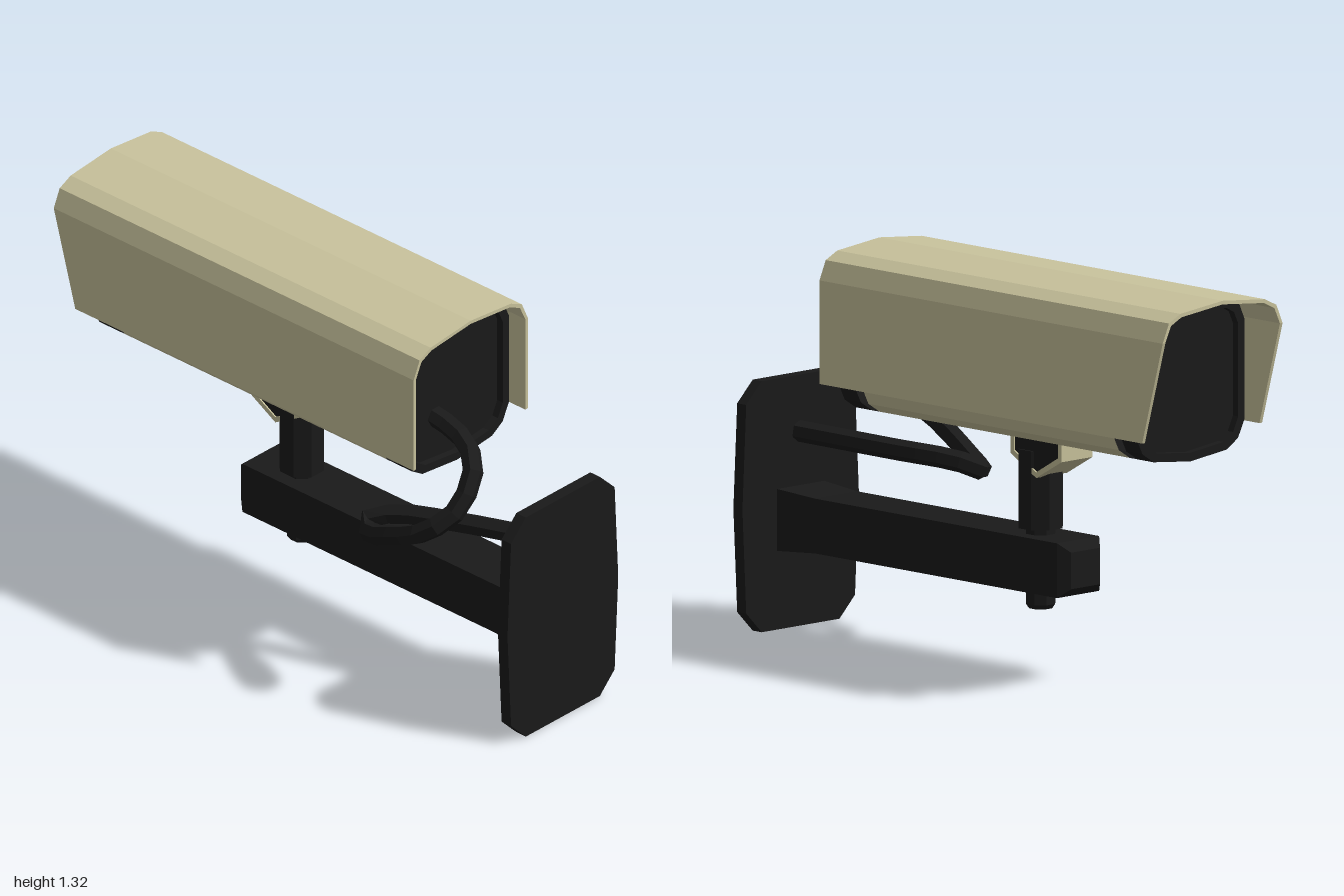
import * as THREE from 'three';

const ZC = -0.042; // depth of the camera and bracket centre line
const material = (color) => new THREE.MeshStandardMaterial({ color, flatShading: true });
const beige = material(0xc8c29c);
const black = material(0x1a1a1a);
const grey = material(0x3a3a3a);

// Mirrors a half profile [halfWidth, y] (bottom to top, +side) into a closed outline.
function mirrored(half) {
  const left = half.filter(([w]) => w > 0).map(([w, y]) => [-w, y]).reverse();
  return [...half, ...left].map(([w, y]) => new THREE.Vector2(w, y));
}

// Extrudes a symmetric depth/height outline along x from x0 to x1.
function alongX(outline, x0, x1, hole) {
  const shape = new THREE.Shape(outline);
  if (hole) shape.holes.push(new THREE.Path(hole));
  const geo = new THREE.ExtrudeGeometry(shape, { depth: x1 - x0, bevelEnabled: false });
  return geo.rotateY(Math.PI / 2).translate(x0, 0, ZC);
}

// Extrudes a front outline along z, centred on the centre line.
function alongZ(points, depth) {
  const shape = new THREE.Shape(points.map(([x, y]) => new THREE.Vector2(x, y)));
  const geo = new THREE.ExtrudeGeometry(shape, { depth, bevelEnabled: false });
  return geo.translate(0, 0, ZC - depth / 2);
}

export function createModel() {
  const model = new THREE.Group();
  const add = (name, geo, mat) => {
    const mesh = new THREE.Mesh(geo, mat);
    mesh.name = name;
    model.add(mesh);
    return mesh;
  };

  // Sun hood: thin open shell, with its front side edges cut back at a slant
  const outer = [[0.27, 0.875], [0.27, 1.215], [0.242, 1.278], [0.19, 1.303], [0, 1.322]];
  const inner = [[0.258, 0.875], [0.258, 1.215], [0.233, 1.268], [0.186, 1.291], [0, 1.31]];
  const hoodOutline = [
    ...outer, ...outer.slice(0, -1).reverse().map(([w, y]) => [-w, y]),
    ...inner.slice(0, -1).map(([w, y]) => [-w, y]), ...inner.slice().reverse(),
  ].map(([w, y]) => new THREE.Vector2(w, y));
  const hood = alongX(hoodOutline, -1, 0.59);
  const pos = hood.attributes.position;
  for (let i = 0; i < pos.count; i++) {
    if (pos.getX(i) < -0.9 && pos.getY(i) < 1) pos.setX(i, -0.905);
  }
  hood.computeVertexNormals();
  add('hood', hood, beige);

  // Housing: beige middle, grey collars and black end frames with recessed panels
  const housing = mirrored([
    [0, 0.775], [0.165, 0.793], [0.215, 0.825], [0.245, 0.885],
    [0.245, 1.21], [0.222, 1.262], [0.178, 1.285], [0, 1.303],
  ]);
  const opening = mirrored([
    [0, 0.803], [0.15, 0.82], [0.193, 0.847], [0.216, 0.895],
    [0.216, 1.2], [0.197, 1.24], [0.165, 1.257], [0, 1.275],
  ]);
  add('housing', alongX(housing, -0.74, 0.42), beige);
  for (const [name, x, s] of [['front', -0.85, 1], ['rear', 0.53, -1]]) {
    const span = (a, b) => [x + s * a, x + s * b].sort((p, q) => p - q);
    add(name + 'Frame', alongX(housing, ...span(0, 0.075), opening), black);
    add(name + 'Panel', alongX(opening, ...span(0.025, 0.075)), black);
    add(name + 'Collar', alongX(housing, ...span(0.075, 0.11)), grey);
  }

  // Mount under the housing: beige pointed band around a black block
  const band = [[-0.325, 0.8], [-0.325, 0.712], [-0.208, 0.645], [-0.09, 0.712], [-0.09, 0.8],
    [-0.106, 0.8], [-0.106, 0.723], [-0.208, 0.664], [-0.309, 0.723], [-0.309, 0.8]];
  add('mountBand', alongZ(band, 0.14), beige);
  add('mountBlock', alongZ([[-0.309, 0.8], [-0.309, 0.723], [-0.208, 0.664],
    [-0.106, 0.723], [-0.106, 0.8]], 0.13), black);

  // Post and the pin running down through the arm
  const round = (rTop, rBottom, y0, y1) =>
    new THREE.CylinderGeometry(rTop, rBottom, y1 - y0, 8)
      .rotateY(Math.PI / 8).translate(-0.157, (y0 + y1) / 2, ZC);
  add('post', round(0.077, 0.077, 0.47, 0.73), black);
  add('pin', round(0.051, 0.051, 0.22, 0.48), black);
  add('pinTip', round(0.051, 0.04, 0.205, 0.22), black);

  // Arm: square sections [x, half height, half depth], chamfered tip and flared root
  const sections = [[-0.365, 0.06, 0.065], [-0.33, 0.09, 0.095], [0.79, 0.09, 0.095], [0.96, 0.102, 0.107]];
  const verts = [];
  const index = [];
  for (const [x, h, d] of sections) {
    for (const [sy, sz] of [[-1, -1], [-1, 1], [1, 1], [1, -1]]) {
      verts.push(x, 0.36 + sy * h, ZC + sz * d);
    }
  }
  for (let s = 0; s < sections.length - 1; s++) {
    for (let k = 0; k < 4; k++) {
      const a = s * 4 + k, b = s * 4 + (k + 1) % 4;
      index.push(a, a + 4, b, b, a + 4, b + 4);
    }
  }
  index.push(0, 1, 2, 0, 2, 3, 12, 14, 13, 12, 15, 14);
  const arm = new THREE.BufferGeometry();
  arm.setAttribute('position', new THREE.Float32BufferAttribute(verts, 3));
  arm.setIndex(index);
  arm.computeVertexNormals();
  add('arm', arm, black);

  // Wall plate with clipped corners
  add('wallPlate', alongX(mirrored([
    [0.175, 0], [0.245, 0.07], [0.262, 0.412], [0.245, 0.755], [0.175, 0.824],
  ]), 0.955, 0.997), black);

  // Cable looping from the rear of the housing back to the wall plate
  const path = [
    [0.48, 0.965, 0.035], [0.62, 0.945, 0.045], [0.735, 0.9, 0.1], [0.75, 0.78, 0.19],
    [0.68, 0.7, 0.265], [0.5, 0.605, 0.25], [0.4, 0.56, 0.225], [0.33, 0.562, 0.18],
    [0.4, 0.592, 0.125], [0.6, 0.612, 0.05], [0.96, 0.64, -0.05],
  ].map((p) => new THREE.Vector3(...p));
  add('cable', new THREE.TubeGeometry(new THREE.CatmullRomCurve3(path), 22, 0.035, 6), black);

  return model;
}
